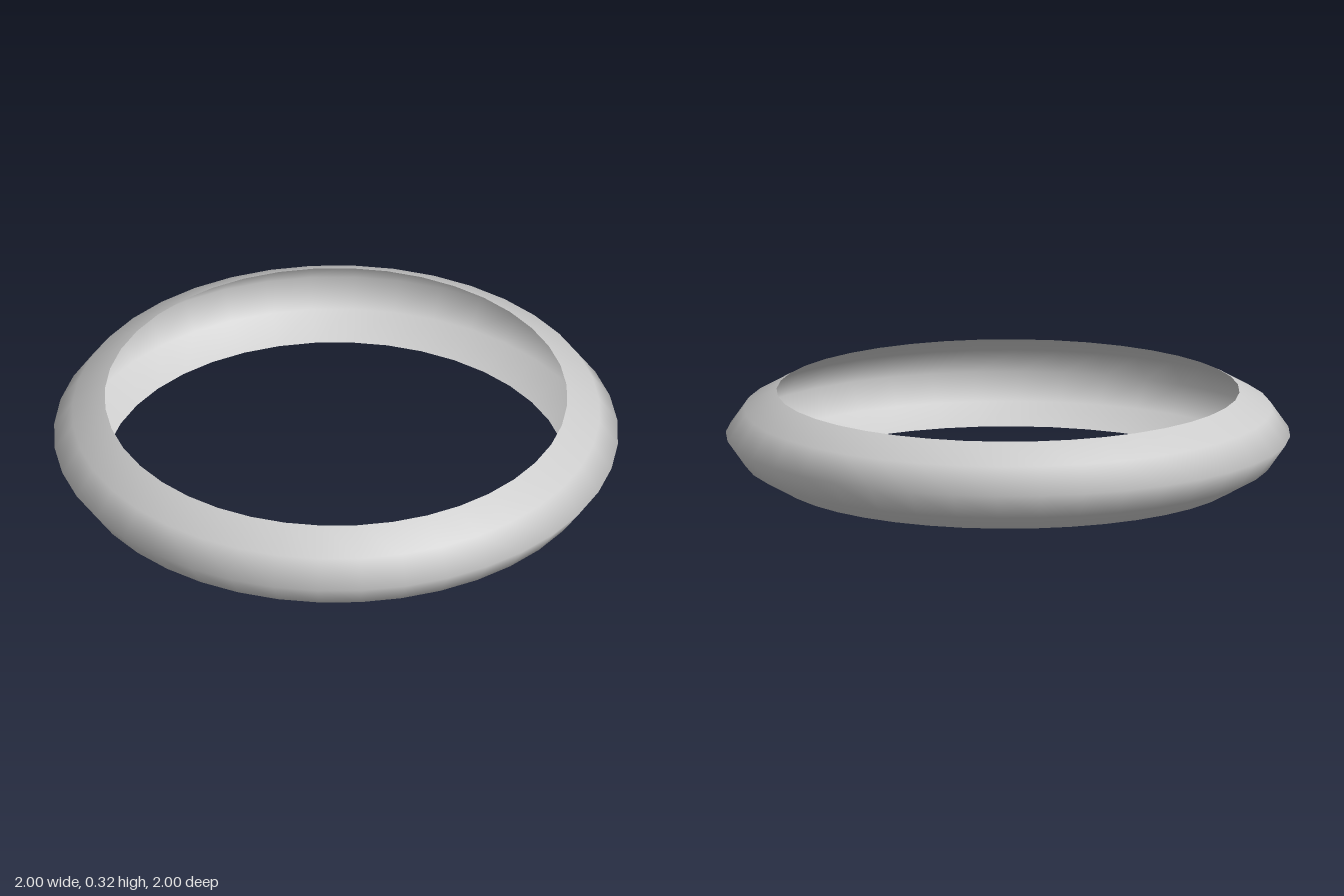
import * as THREE from 'three';

export function createModel() {
  const group = new THREE.Group();
  group.name = 'ring';

  // Thin open band: outward-bulging profile, mirrored about mid-height, hollow inside
  const mid = 0.158;
  const lower = [[0.82, 0], [0.935, 0.065]];
  const upper = lower.map(([r, y]) => [r, 2 * mid - y]).reverse();
  const profile = [...lower, [1, mid], ...upper].map(([r, y]) => new THREE.Vector2(r, y));

  const band = new THREE.Mesh(
    new THREE.LatheGeometry(profile, 40),
    new THREE.MeshStandardMaterial({ color: 0xcccccc, side: THREE.DoubleSide })
  );
  band.name = 'band';
  group.add(band);
  return group;
}
